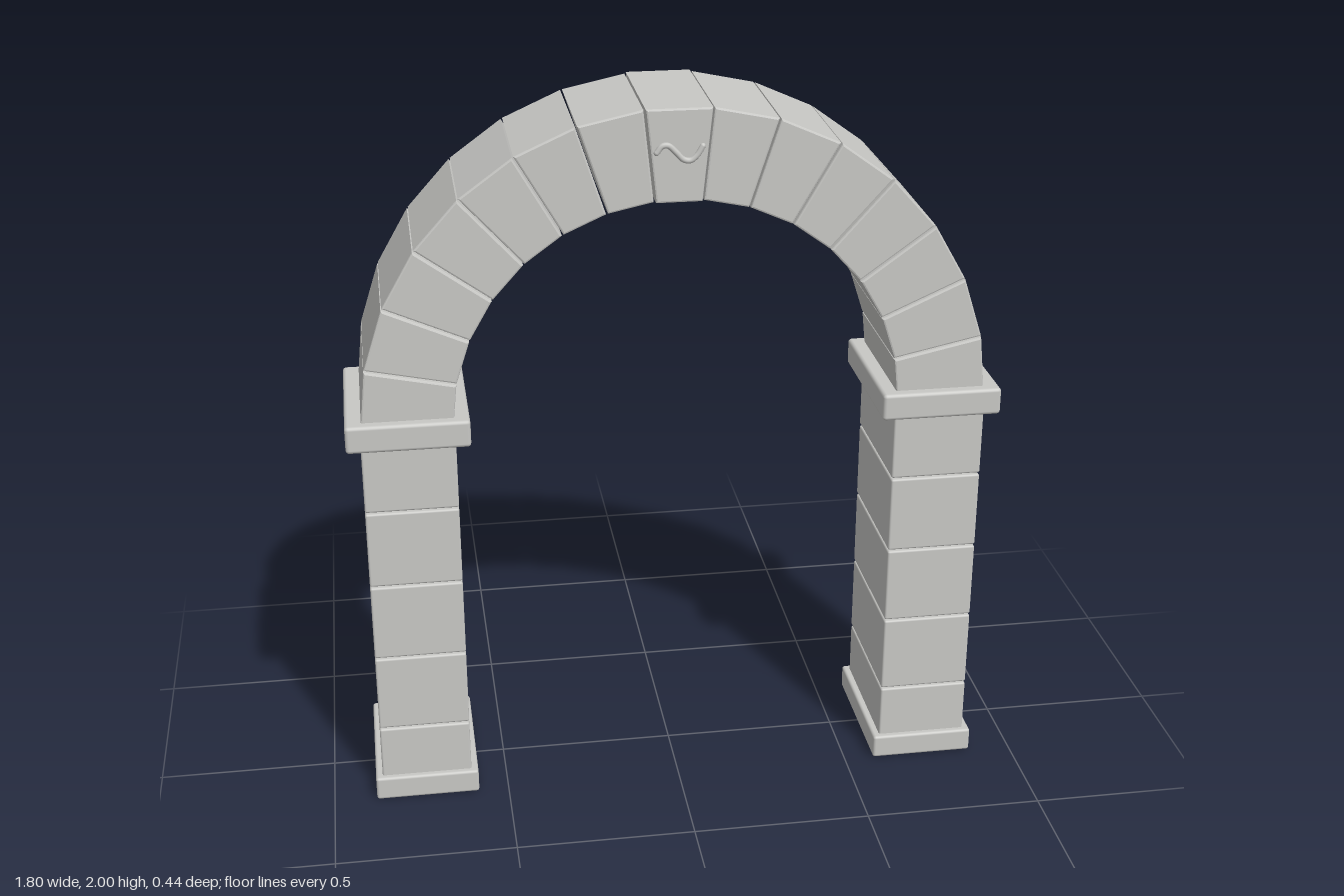
import * as THREE from 'three';
import { RoundedBoxGeometry } from 'three/addons/geometries/RoundedBoxGeometry.js';

const stone = new THREE.MeshStandardMaterial({ color: 0xc8c8c5 });
stone.name = 'paleStone';

const SPRING_Y = 1.1445; // centre of the arch
const STEP = Math.PI / 15; // angle taken by each arch stone
const GAP = 0.005; // open joint between stones

function add(parent, name, geometry, x = 0, y = 0, z = 0) {
  const mesh = new THREE.Mesh(geometry, stone);
  mesh.name = name;
  mesh.position.set(x, y, z);
  parent.add(mesh);
  return mesh;
}

// Soft-edged block spanning y0..y1
function block(parent, name, width, depth, y0, y1, radius) {
  return add(parent, name, new RoundedBoxGeometry(width, y1 - y0, depth, 2, radius), 0, (y0 + y1) / 2, 0);
}

// Tapered arch stone, pointing up, with bevelled edges
function wedge(inner, outer, depth) {
  const bevel = 0.005;
  const half = STEP / 2;
  const corner = (r) => [r * Math.sin(half) - GAP / 2, r * Math.cos(half)];
  const [xi, yi] = corner(inner);
  const [xo, yo] = corner(outer);
  const shape = new THREE.Shape([
    new THREE.Vector2(-xi, yi), new THREE.Vector2(xi, yi),
    new THREE.Vector2(xo, yo), new THREE.Vector2(-xo, yo),
  ]);
  const geometry = new THREE.ExtrudeGeometry(shape, {
    depth: depth - 2 * bevel, bevelEnabled: true, bevelSize: bevel,
    bevelThickness: bevel, bevelOffset: -bevel, bevelSegments: 2,
  });
  geometry.translate(0, 0, bevel - depth / 2);
  return geometry;
}

// Pier: base slab, five courses and a cap slab
function pier(name, x) {
  const group = new THREE.Group();
  group.name = name;
  group.position.x = x;
  block(group, 'baseSlab', 0.294, 0.42, 0, 0.07, 0.008);
  const joints = [0.04, 0.226, 0.455, 0.682, 0.909, 1.125];
  for (let i = 0; i < 5; i++) {
    block(group, 'pierBlock', 0.255, 0.386, joints[i] + GAP / 2, joints[i + 1] - GAP / 2, 0.006);
  }
  block(group, 'capSlab', 0.334, 0.436, 1.1, 1.177, 0.01);
  return group;
}

export function createModel() {
  const model = new THREE.Group();
  model.name = 'stoneArch';
  model.add(pier('leftPier', 0.732), pier('rightPier', -0.732));

  // Ring of fifteen arch stones, the middle one slightly deeper
  const arch = new THREE.Group();
  arch.name = 'archRing';
  arch.position.y = SPRING_Y;
  const common = wedge(0.61, 0.858, 0.378);
  for (let i = -7; i <= 7; i++) {
    const geometry = i === 0 ? wedge(0.609, 0.86, 0.394) : common;
    add(arch, i === 0 ? 'keystone' : 'archStone', geometry).rotation.z = i * STEP;
  }
  model.add(arch);

  // Raised wave on the front of the keystone
  const points = [[-0.06, 0.002], [-0.046, 0.019], [-0.03, 0.02], [-0.01, 0.002],
    [0.01, -0.018], [0.028, -0.021], [0.045, -0.008], [0.06, 0.016]]
    .map(([x, y]) => new THREE.Vector3(x, y, 0));
  const curve = new THREE.CatmullRomCurve3(points);
  const wave = new THREE.Group();
  wave.name = 'keystoneWave';
  wave.position.set(0, 1.884, 0.198);
  add(wave, 'waveRidge', new THREE.TubeGeometry(curve, 40, 0.008, 8));
  for (const end of [points[0], points[points.length - 1]]) {
    add(wave, 'waveEnd', new THREE.SphereGeometry(0.008, 8, 6), end.x, end.y, 0);
  }
  model.add(wave);
  return model;
}
